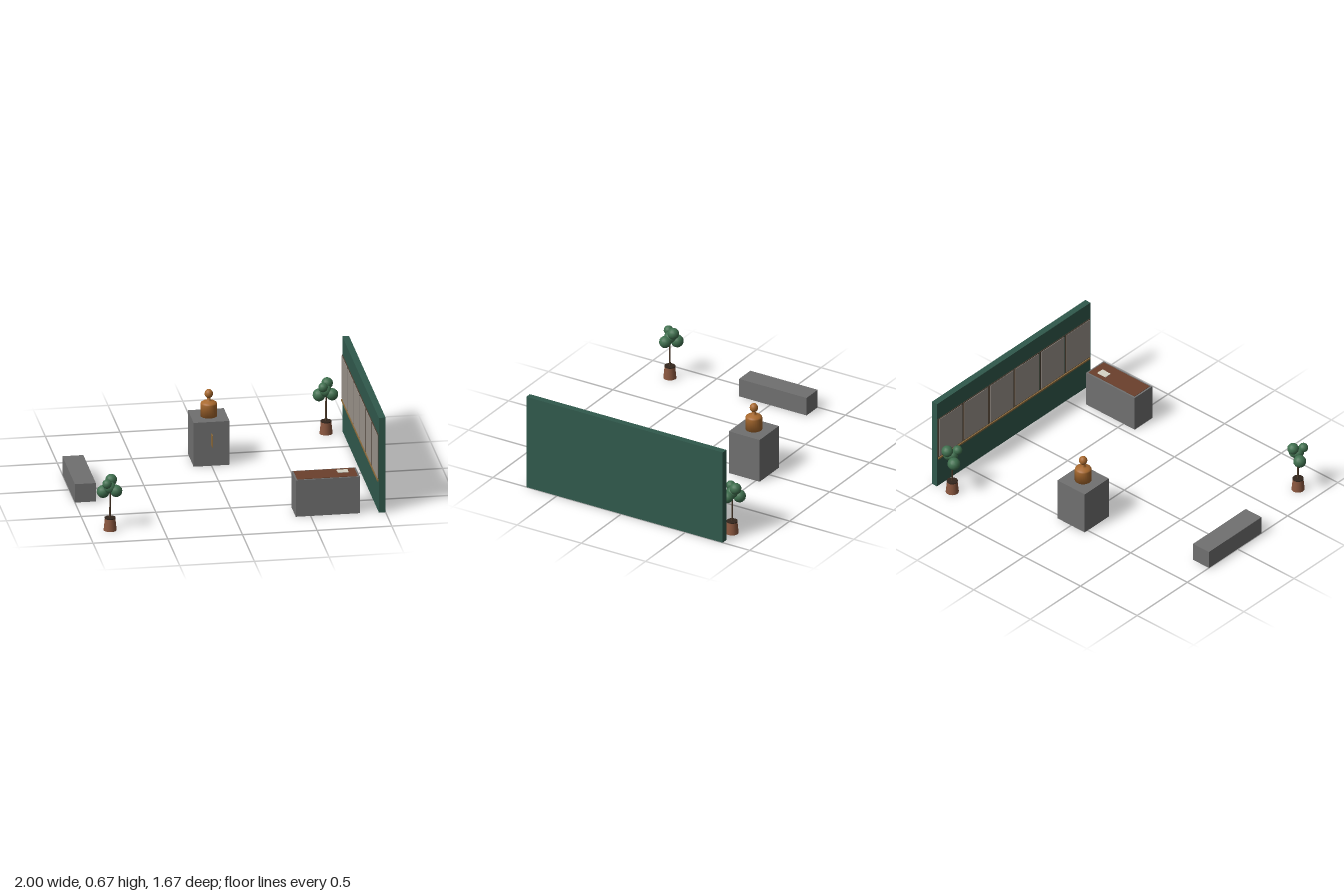
import * as THREE from 'three';

const mat = (color, side = THREE.FrontSide) => new THREE.MeshStandardMaterial({ color, side });
const M = {
  stone: mat(0x707070), green: mat(0x30594c), leaf: mat(0x40704f), pot: mat(0x8a573f),
  soil: mat(0x33261d), bark: mat(0x4d3a2a), bronze: mat(0xa8692e), wood: mat(0x6b402c),
  paper: mat(0xd6d3c4), panel: mat(0x9a928a), frame: mat(0x4a3d30), rail: mat(0x8a6a3c),
};

function add(parent, name, geometry, material, x = 0, y = 0, z = 0) {
  const mesh = new THREE.Mesh(geometry, material);
  mesh.name = name;
  mesh.position.set(x, y, z);
  parent.add(mesh);
  return mesh;
}

// Box given by its extents on each axis
function box(parent, name, material, [x0, x1], [y0, y1], [z0, z1]) {
  return add(parent, name, new THREE.BoxGeometry(x1 - x0, y1 - y0, z1 - z0), material,
    (x0 + x1) / 2, (y0 + y1) / 2, (z0 + z1) / 2);
}

function group(parent, name, x = 0, y = 0, z = 0) {
  const g = new THREE.Group();
  g.name = name;
  g.position.set(x, y, z);
  parent.add(g);
  return g;
}

// Display wall with six framed panels on its inner face and a rail below
function makeWall(root) {
  const g = group(root, 'displayWall');
  box(g, 'wall', M.green, [0.955, 1], [0, 0.67], [-0.79, 0.74]);
  for (let i = 0; i < 6; i++) {
    const z = -0.025 + (i - 2.5) * 0.254;
    box(g, 'panelFrame', M.frame, [0.95, 0.956], [0.234, 0.545], [z - 0.122, z + 0.122]);
    box(g, 'panel', M.panel, [0.947, 0.952], [0.24, 0.54], [z - 0.114, z + 0.114]);
  }
  box(g, 'panelRail', M.rail, [0.945, 0.956], [0.218, 0.23], [-0.78, 0.73]);
}

// Pedestal with a small bronze bust and a projecting plaque
function makePedestal(root) {
  const g = group(root, 'pedestal', 0, 0, -0.41);
  box(g, 'plinth', M.stone, [-0.12, 0.12], [0, 0.31], [-0.12, 0.12]);
  box(g, 'plaque', M.rail, [-0.003, 0.003], [0.145, 0.228], [0.11, 0.168]);
  const torso = [[0, 0.31], [0.056, 0.31], [0.056, 0.395], [0.052, 0.403], [0.042, 0.41],
    [0.025, 0.416], [0.013, 0.421], [0.012, 0.445]].map(p => new THREE.Vector2(...p));
  add(g, 'bustTorso', new THREE.LatheGeometry(torso, 24), M.bronze);
  add(g, 'bustHead', new THREE.SphereGeometry(0.028, 16, 12), M.bronze, 0, 0.466, 0).scale.y = 1.12;
}

// Reception counter with an inset wooden top and loose sheets
function makeCounter(root) {
  const g = group(root, 'counter');
  box(g, 'counterBody', M.stone, [0.4, 0.83], [0, 0.258], [0.555, 0.73]);
  box(g, 'counterTop', M.wood, [0.412, 0.818], [0.25, 0.261], [0.567, 0.718]);
  [0.06, -0.07].forEach((turn, i) => {
    const sheet = add(g, 'sheet', new THREE.BoxGeometry(0.072, 0.003, 0.05), M.paper,
      0.731, 0.2625 + i * 0.002, 0.622);
    sheet.rotation.y = turn;
  });
}

// Potted tree: tapered pot, thin trunk, clustered round crown
function makeTree(root, x, z) {
  const g = group(root, 'pottedTree', x, 0, z);
  add(g, 'pot', new THREE.CylinderGeometry(0.035, 0.044, 0.086, 16), M.pot, 0, 0.043, 0);
  add(g, 'soil', new THREE.CylinderGeometry(0.037, 0.037, 0.006, 16), M.soil, 0, 0.086, 0);
  add(g, 'trunk', new THREE.CylinderGeometry(0.005, 0.006, 0.19, 8), M.bark, 0, 0.18, 0);
  const crown = [[0, 0.3, 0, 0.04], [-0.042, 0.262, -0.031, 0.043], [0.039, 0.278, 0.012, 0.041],
    [0.013, 0.341, -0.035, 0.039], [-0.024, 0.335, 0.026, 0.032]];
  for (const [cx, cy, cz, r] of crown) {
    add(g, 'foliage', new THREE.SphereGeometry(r, 14, 10), M.leaf, cx, cy, cz);
  }
}

export function createModel() {
  const root = new THREE.Group();
  root.name = 'exhibitHall';
  makeWall(root);
  makePedestal(root);
  makeCounter(root);
  box(root, 'bench', M.stone, [-1, -0.86], [0, 0.13], [-0.285, 0.24]);
  makeTree(root, -0.85, 0.773);
  makeTree(root, 0.842, -0.765);
  return root;
}
